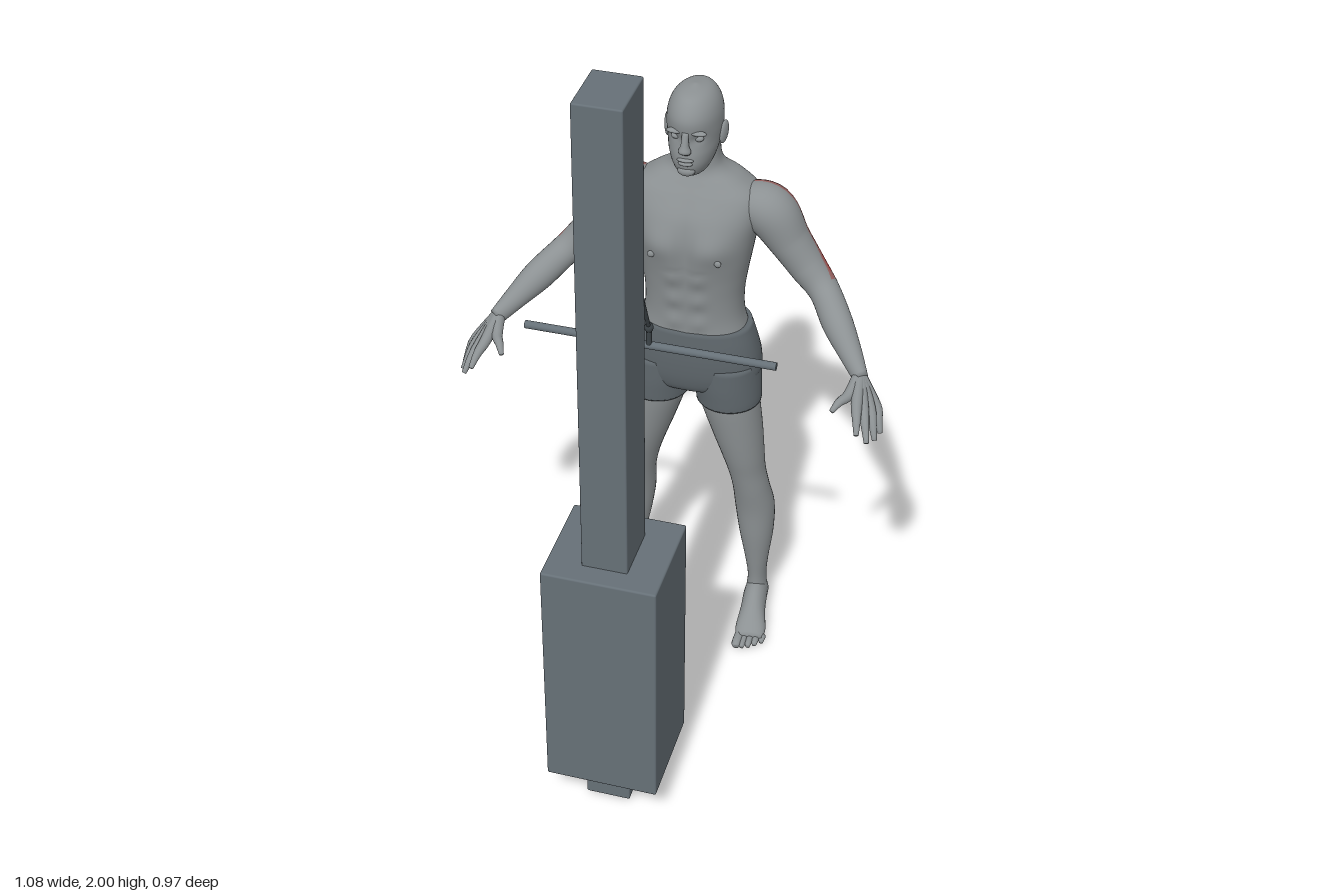
import * as THREE from 'three';
import { RoundedBoxGeometry } from 'three/addons/geometries/RoundedBoxGeometry.js';

const mat = (name, color) => {
  const m = new THREE.MeshStandardMaterial({ color });
  m.name = name;
  return m;
};

// Smooth skin through rows of [x, y, z, radiusA, radiusB].
// flat: rings stay horizontal (rows run upward); otherwise rings follow the path.
function loft(rows, { flat = false, sides = 24, steps = 5, power = 2, tweak, paint } = {}) {
  const path = new THREE.CatmullRomCurve3(rows.map(r => new THREE.Vector3(r[0], r[1], r[2])), false, 'catmullrom');
  const size = new THREE.CatmullRomCurve3(rows.map(r => new THREE.Vector3(r[3], r[4], 0)), false, 'catmullrom');
  const n = (rows.length - 1) * steps, pos = [], up = new THREE.Vector3(0, 1, 0);
  const sup = v => Math.sign(v) * Math.pow(Math.abs(v), 2 / power);
  const put = p => { if (tweak) tweak(p); pos.push(p.x, p.y, p.z); };
  for (let i = 0; i <= n; i++) {
    const c = path.getPoint(i / n), s = size.getPoint(i / n), t = path.getTangent(i / n);
    const u = flat ? new THREE.Vector3(1, 0, 0) : t.clone().cross(up).normalize();
    const v = flat ? new THREE.Vector3(0, 0, 1) : u.clone().cross(t).normalize();
    for (let j = 0; j < sides; j++) {
      const a = j / sides * Math.PI * 2;
      put(c.clone().addScaledVector(u, s.x * sup(Math.cos(a))).addScaledVector(v, s.y * sup(Math.sin(a))));
    }
  }
  put(path.getPoint(0));
  put(path.getPoint(1));
  const lists = [[], [], []], start = (n + 1) * sides;
  for (let j = 0; j < sides; j++) {
    const k = (j + 1) % sides;
    for (let i = 0; i < n; i++) {
      const a = i * sides + j, b = i * sides + k, c = a + sides, d = b + sides;
      const m = paint ? paint((i + 0.5) / steps, (j + 0.5) / sides * Math.PI * 2) : 0;
      lists[m].push(a, c, b, b, c, d);
    }
    lists[0].push(start, j, k, start + 1, n * sides + k, n * sides + j);
  }
  const g = new THREE.BufferGeometry();
  g.setAttribute('position', new THREE.Float32BufferAttribute(pos, 3));
  g.setIndex(lists.flat());
  let at = 0;
  if (paint) lists.forEach((l, m) => { g.addGroup(at, l.length, m); at += l.length; });
  g.computeVertexNormals();
  return g;
}

// Horizontal rows given as [y, frontZ, backZ, halfWidth]
const slabs = list => list.map(([y, f, b, w]) => [0, y, (f + b) / 2, w, (f - b) / 2]);

function mirrored(g) {
  const m = g.clone().scale(-1, 1, 1), ix = m.index;
  for (let i = 0; i < ix.count; i += 3) {
    const a = ix.getX(i);
    ix.setX(i, ix.getX(i + 1));
    ix.setX(i + 1, a);
  }
  m.computeVertexNormals();
  return m;
}

const bump = (d, w) => Math.exp(-(d * d) / (w * w));

export function createModel() {
  const model = new THREE.Group();
  const skin = mat('skin grey', 0x8c9193), cloth = mat('shorts grey', 0x5e666b);
  const steel = mat('machine grey', 0x667077), dark = mat('cable dark', 0x3c4347);
  const red = mat('muscle red', 0xb5403c), pale = mat('muscle pale red', 0x9c6664);
  const add = (parent, name, g, m) => {
    const mesh = new THREE.Mesh(g, m);
    mesh.name = name;
    parent.add(mesh);
    return mesh;
  };
  const group = name => { const g = new THREE.Group(); g.name = name; model.add(g); return g; };
  const machine = group('cableMachine'), person = group('person');
  const pair = (name, g, m) => { add(person, name + 'Left', g, m); add(person, name + 'Right', mirrored(g), m); };
  const ball = (x, y, z, a, b, c) => new THREE.SphereGeometry(1, 20, 14).scale(a, b, c).translate(x, y, z);

  // Cable machine
  add(machine, 'post', new RoundedBoxGeometry(0.112, 1.986, 0.15, 2, 0.004).translate(0, 1.007, 0.353), steel);
  add(machine, 'weightStack', new RoundedBoxGeometry(0.282, 0.66, 0.264, 2, 0.005).translate(0, 0.44, 0.351), steel);
  const rod = (name, a, b, r, m) => add(machine, name, new THREE.TubeGeometry(new THREE.LineCurve3(a, b), 1, r, 12), m);
  rod('cable', new THREE.Vector3(0, 1.7, 0.285), new THREE.Vector3(0, 1.21, 0.057), 0.005, dark);
  rod('hanger', new THREE.Vector3(0, 1.212, 0.056), new THREE.Vector3(0, 1.155, 0.055), 0.007, dark);
  add(machine, 'swivel', ball(0, 1.208, 0.056, 0.011, 0.013, 0.011), dark);
  add(machine, 'handleBar', new THREE.CylinderGeometry(0.01, 0.01, 0.616, 16).rotateZ(Math.PI / 2).translate(0, 1.155, 0.053), steel);

  // Torso and neck, with chest, abdomen, shoulder blades and spine shaped by rule
  const torsoShape = p => {
    const x = Math.abs(p.x), y = p.y;
    if (p.z > -0.33) {
      p.z += 0.013 * bump(x - 0.07, 0.05) * bump(y - 1.235, 0.045);
      p.z -= 0.012 * bump(x, 0.014) * bump(y - 1.2, 0.11);
      if (y < 1.17) p.z += 0.003 * bump(x - 0.03, 0.02) * Math.sin((y - 0.98) * 90);
    } else if (p.z < -0.4) {
      p.z -= 0.014 * bump(x - 0.075, 0.045) * bump(y - 1.28, 0.08);
      p.z += 0.022 * bump(x, 0.02) * bump(y - 1.17, 0.2);
    }
  };
  add(person, 'torso', loft(slabs([
    [0.94, -0.272, -0.452, 0.143], [1.0, -0.272, -0.445, 0.128], [1.06, -0.266, -0.45, 0.126],
    [1.12, -0.257, -0.463, 0.133], [1.18, -0.247, -0.475, 0.143], [1.24, -0.246, -0.479, 0.153],
    [1.3, -0.257, -0.474, 0.163], [1.35, -0.283, -0.46, 0.158], [1.385, -0.305, -0.447, 0.115],
    [1.41, -0.318, -0.432, 0.073], [1.44, -0.32, -0.425, 0.056], [1.5, -0.32, -0.425, 0.053],
  ]), { flat: true, sides: 64, steps: 6, power: 2.35, tweak: torsoShape }), skin);
  pair('nipple', ball(0.085, 1.205, -0.249, 0.009, 0.009, 0.005), skin);

  // Head and face
  add(person, 'head', loft(slabs([
    [1.425, -0.29, -0.385, 0.025], [1.434, -0.265, -0.395, 0.038], [1.46, -0.251, -0.408, 0.051],
    [1.49, -0.25, -0.42, 0.06], [1.52, -0.254, -0.432, 0.065], [1.55, -0.249, -0.437, 0.067],
    [1.585, -0.247, -0.435, 0.065], [1.615, -0.261, -0.42, 0.055], [1.635, -0.285, -0.397, 0.036],
    [1.645, -0.335, -0.345, 0.004],
  ]), { flat: true, sides: 40, tweak: p => {
    // eye sockets
    if (p.z < -0.3) return;
    p.z -= 0.008 * bump(Math.abs(p.x) - 0.028, 0.016) * bump(p.y - 1.538, 0.013);
  } }), skin);
  add(person, 'nose', loft([
    [0, 1.502, -0.25, 0.012, 0.008], [0, 1.512, -0.245, 0.016, 0.015], [0, 1.528, -0.246, 0.01, 0.011],
    [0, 1.56, -0.251, 0.008, 0.006],
  ], { flat: true, sides: 16 }), skin);
  add(person, 'upperLip', ball(0, 1.484, -0.251, 0.021, 0.005, 0.008), skin);
  add(person, 'lowerLip', ball(0, 1.474, -0.252, 0.018, 0.006, 0.008), skin);
  add(person, 'chin', ball(0, 1.45, -0.262, 0.022, 0.014, 0.014), skin);
  pair('brow', ball(0.028, 1.557, -0.259, 0.022, 0.006, 0.01), skin);
  pair('eye', ball(0.028, 1.538, -0.27, 0.012, 0.008, 0.009), skin);
  pair('ear', ball(0, 0, 0, 0.008, 0.03, 0.017).rotateX(-0.2).rotateY(-0.3).translate(0.07, 1.522, -0.345), skin);

  // Arms, with the worked muscle on the rear of the upper arm
  const arm = loft([
    [0.11, 1.325, -0.375, 0.055, 0.045], [0.18, 1.305, -0.373, 0.066, 0.066], [0.235, 1.228, -0.372, 0.056, 0.053],
    [0.285, 1.163, -0.365, 0.047, 0.046], [0.335, 1.115, -0.34, 0.039, 0.039], [0.385, 1.073, -0.272, 0.038, 0.04],
    [0.43, 1.03, -0.22, 0.029, 0.03], [0.468, 0.992, -0.175, 0.018, 0.023],
  ], { sides: 32, steps: 7, paint: (t, a) => {
    const back = -Math.cos(a) + 0.2 * Math.sin(a);
    if (t < 0.35 || t > 3.9 || back < 0.3) return 0;
    return t < 1 || t > 3.6 || back < 0.52 ? 2 : 1;
  } });
  pair('arm', arm, [skin, red, pale]);

  // Hands: each finger runs from wrist through knuckle to tip
  const fingers = {
    indexFinger: [[0.474, 0.965, -0.105], [0.49, 0.925, -0.035]],
    middleFinger: [[0.489, 0.954, -0.113], [0.514, 0.897, -0.047]],
    ringFinger: [[0.503, 0.945, -0.128], [0.528, 0.886, -0.078]],
    littleFinger: [[0.514, 0.937, -0.148], [0.535, 0.885, -0.112]],
    thumb: [[0.45, 0.974, -0.125], [0.42, 0.957, -0.07]],
  };
  for (const [name, [k, e]] of Object.entries(fingers)) {
    const mid = k.map((v, i) => v * 0.45 + e[i] * 0.55 + (i === 1 ? 0.006 : 0));
    pair(name, loft([
      [0.463, 0.997, -0.182, 0.016, 0.018], [...k, 0.014, 0.014], [...mid, 0.0105, 0.0105], [...e, 0.006, 0.006],
    ], { sides: 12, steps: 4 }), skin);
  }

  // Legs
  pair('leg', loft([
    [0.178, 0.05, -0.395, 0.03, 0.036], [0.178, 0.11, -0.393, 0.025, 0.032], [0.176, 0.18, -0.389, 0.032, 0.036],
    [0.172, 0.27, -0.391, 0.046, 0.049], [0.166, 0.36, -0.39, 0.053, 0.055], [0.157, 0.44, -0.373, 0.049, 0.052],
    [0.146, 0.5, -0.365, 0.05, 0.055], [0.135, 0.56, -0.36, 0.057, 0.063], [0.118, 0.64, -0.357, 0.068, 0.073],
    [0.097, 0.74, -0.352, 0.079, 0.08], [0.09, 0.8, -0.355, 0.08, 0.08],
  ], { flat: true, sides: 32 }), skin);

  // Feet with flat soles
  pair('foot', loft([
    [0.178, 0.035, -0.43, 0.012, 0.02], [0.178, 0.04, -0.415, 0.028, 0.04], [0.18, 0.048, -0.375, 0.032, 0.05],
    [0.186, 0.036, -0.32, 0.034, 0.044], [0.194, 0.022, -0.265, 0.041, 0.028], [0.199, 0.016, -0.23, 0.036, 0.014],
  ], { sides: 24, tweak: p => { p.y = Math.max(p.y, 0.002); } }), skin);
  for (let i = 0; i < 5; i++) {
    const x = 0.17 + i * 0.0155, r = i ? 0.009 : 0.013, z = -0.192 - i * i * 0.0022;
    pair('toe' + (i + 1), loft([
      [x, 0.015, -0.25, r, r], [x, 0.013, z - 0.012, r, r], [x + 0.001, 0.009, z, r * 0.6, r * 0.6],
    ], { sides: 12, steps: 4, tweak: p => { p.y = Math.max(p.y, 0); } }), skin);
  }

  // Shorts: seat with a rear cleft, and two leg openings
  add(person, 'shortsSeat', loft(slabs([
    [0.765, -0.31, -0.4, 0.06], [0.785, -0.278, -0.44, 0.14], [0.82, -0.266, -0.458, 0.174],
    [0.87, -0.262, -0.466, 0.174], [0.92, -0.263, -0.46, 0.163], [0.968, -0.267, -0.456, 0.147],
  ]), { flat: true, sides: 48, power: 2.3, tweak: p => {
    if (p.z < -0.4) p.z += 0.022 * bump(p.x, 0.02) * bump(p.y - 0.85, 0.08);
  } }), cloth);
  pair('shortsLeg', loft([
    [0.096, 0.738, -0.352, 0.085, 0.084], [0.095, 0.76, -0.353, 0.086, 0.086], [0.092, 0.8, -0.358, 0.086, 0.092],
    [0.09, 0.86, -0.364, 0.082, 0.096],
  ], { flat: true, sides: 32 }), cloth);

  return model;
}
